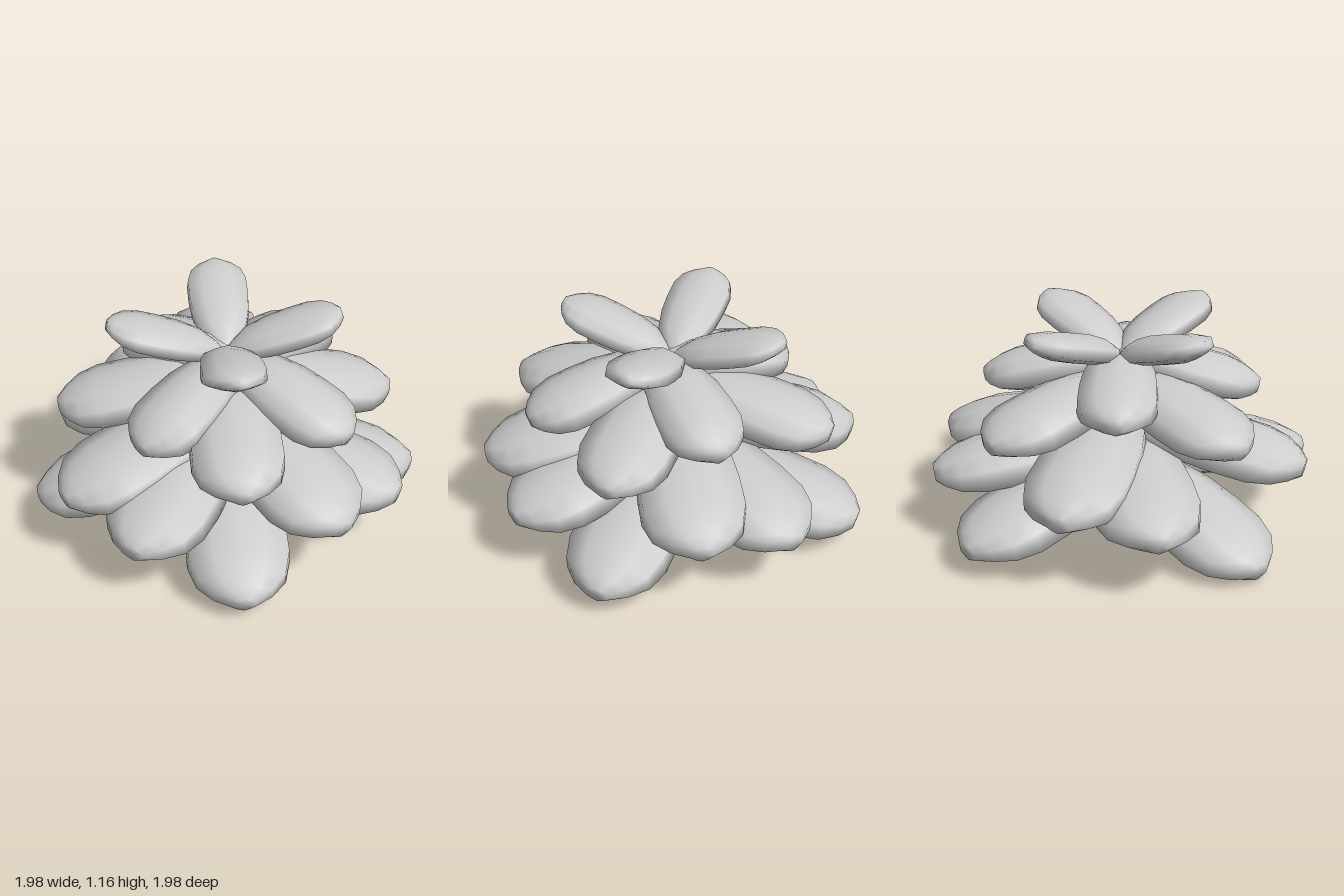
import * as THREE from 'three';

const material = new THREE.MeshStandardMaterial({ color: 0xcccccc });

// Lengthwise stations: [position, half width, half thickness], all as fractions
const STATIONS = [
  [0, 0, 0], [0.08, 0.36, 0.38], [0.22, 0.78, 0.82], [0.4, 0.94, 1], [0.58, 1, 1], [0.75, 1, 0.95],
  [0.87, 0.86, 0.76], [0.95, 0.56, 0.55], [1, 0.22, 0.36], [1, 0, 0],
];
// Cross-section of the pillow: domed above and below, with a blunt side wall
const SECTION = [
  [1, -0.38], [0.97, 0.42], [0.52, 0.77], [0, 1], [-0.52, 0.77], [-0.97, 0.42],
  [-1, -0.38], [-0.52, -0.77], [0, -1], [0.52, -0.77],
];

// A thick pillow-like petal lying along +z with its pointed base at the origin
function petalGeometry(length, width, thickness) {
  const pos = [], index = [], ring = SECTION.length;
  for (const [s, w, h] of STATIONS) {
    for (const [x, y] of SECTION) pos.push((x * w * width) / 2, (y * h * thickness) / 2, s * length);
  }
  for (let k = 0; k < STATIONS.length - 1; k++) {
    for (let i = 0; i < ring; i++) {
      const j = (i + 1) % ring;
      const a = k * ring + i, b = k * ring + j, c = a + ring, d = b + ring;
      index.push(a, b, c, b, d, c);
    }
  }
  const geometry = new THREE.BufferGeometry();
  geometry.setAttribute('position', new THREE.Float32BufferAttribute(pos, 3));
  geometry.setIndex(index);
  geometry.computeVertexNormals();
  return geometry;
}

// Whorls of four petals, from top to bottom; drops lowers each tip a little
const LEVEL = [0, 0, 0, 0];
const TIERS = [
  { name: 'crownPetal', yaw: 45, reach: 0.6, base: 0.95, tip: 1.14, width: 0.32, thickness: 0.155, z: 0.01, drops: LEVEL },
  { name: 'upperPetal', yaw: 0, reach: 0.725, base: 0.94, tip: 0.775, width: 0.4, thickness: 0.24, z: 0.075, drops: [0.02, -0.02, -0.03, 0.02] },
  { name: 'shoulderPetal', yaw: 45, reach: 0.87, base: 0.83, tip: 0.67, width: 0.46, thickness: 0.25, z: 0.01, drops: LEVEL },
  { name: 'middlePetal', yaw: -15, reach: 0.99, base: 0.62, tip: 0.43, width: 0.52, thickness: 0.28, z: 0.01, drops: LEVEL },
  { name: 'lowerPetal', yaw: 13, reach: 1.0, base: 0.5, tip: 0.35, width: 0.52, thickness: 0.28, z: 0, drops: LEVEL },
  { name: 'bottomPetal', yaw: 45, reach: 1.03, base: 0.38, tip: 0.14, width: 0.52, thickness: 0.28, z: 0, drops: [-0.02, -0.02, 0.07, 0.01] },
];

export function createModel() {
  const model = new THREE.Group();
  for (const t of TIERS) {
    const tier = new THREE.Group();
    tier.name = t.name + 'Tier';
    tier.position.set(0, t.base, t.z);
    const geometry = petalGeometry(Math.hypot(t.reach, t.base - t.tip), t.width, t.thickness);
    t.drops.forEach((drop, i) => {
      const petal = new THREE.Mesh(geometry, material);
      petal.name = t.name;
      petal.rotation.order = 'YXZ';
      petal.rotation.y = THREE.MathUtils.degToRad(t.yaw + 90 * i);
      petal.rotation.x = Math.atan2(t.base - t.tip + drop, t.reach);
      tier.add(petal);
    });
    model.add(tier);
  }

  // Stand on the ground
  model.updateMatrixWorld(true);
  const bottom = new THREE.Box3().setFromObject(model, true).min.y;
  for (const tier of model.children) tier.position.y -= bottom;
  return model;
}
